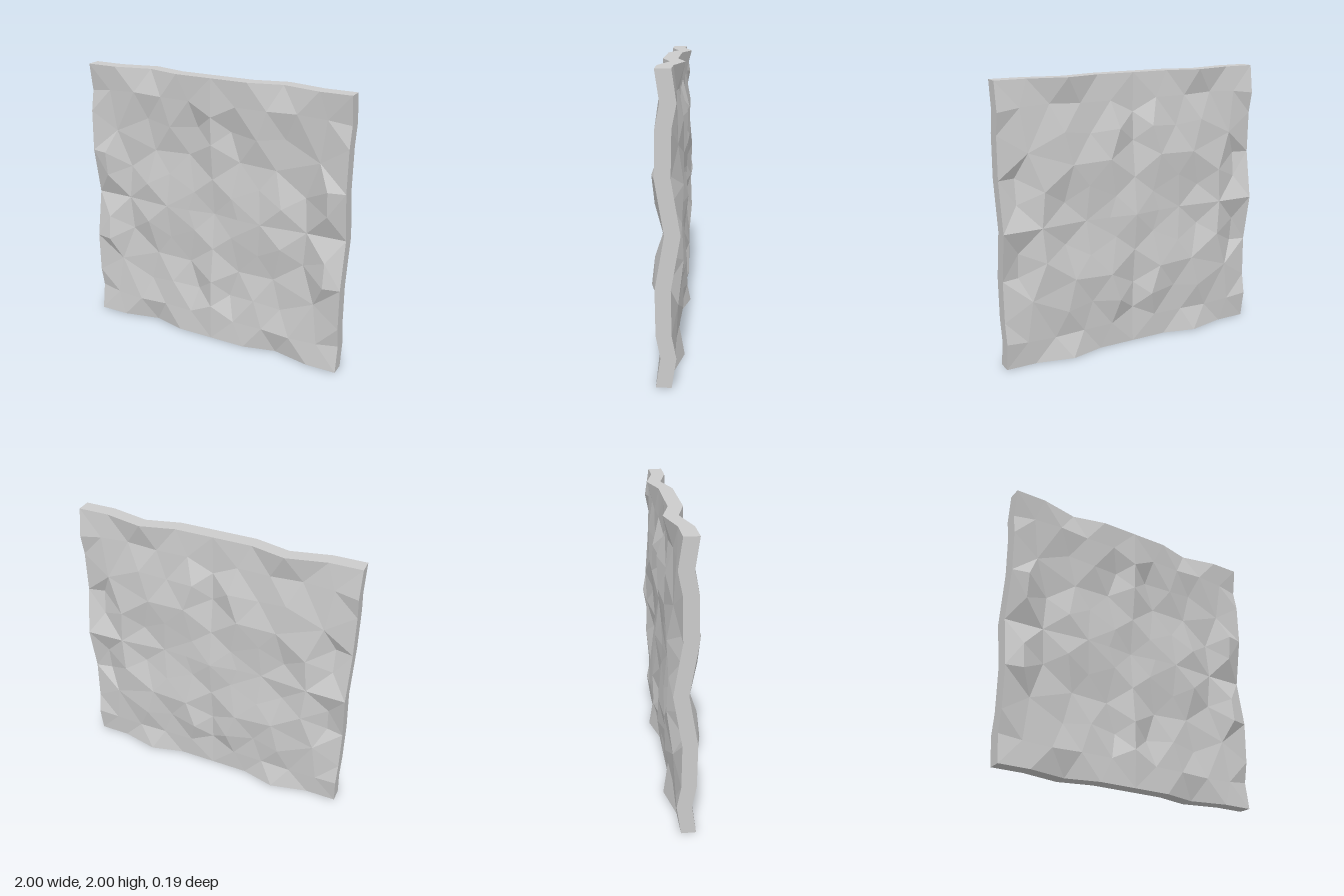
import * as THREE from 'three';

const THICKNESS = 0.1;

// One quarter of the rough face: x, height above the middle, depth.
const QUARTER = [
  // top and side rim
  [0, 1, 0.06], [0.27, 1, 0.06], [0.51, 1, 0], [0.78, 1, 0.06], [1, 1, 0.06],
  [1, 0.8, 0.03], [1, 0.65, 0.06], [1, 0.35, 0.065], [1, 0, 0.005],
  // vertical and horizontal centre lines
  [0, 0, 0.0], [0, 0.27, 0.03], [0, 0.53, 0.06], [0, 0.73, 0.065],
  [0.2, 0, 0.03], [0.38, 0, 0.04], [0.72, 0, 0.01],
  // hollows and bumps
  [0.13, 0.63, 0], [0.18, 0.82, 0.05], [0.41, 0.82, 0.045], [0.84, 0.82, 0.045],
  [0.63, 0.83, 0.05], [0.54, 0.64, 0.01], [0.34, 0.61, 0.04], [0.8, 0.52, 0.03],
  [0.48, 0.41, 0.01], [0.2, 0.42, 0.0], [0.7, 0.25, 0.0], [0.88, 0.35, 0.09],
  [0.88, 0.17, 0.07], [0.54, 0.15, 0.05], [0.36, 0.25, 0.02], [0.15, 0.15, 0.03],
];

// Delaunay triangles: keep each triple whose circumcircle holds no other point.
function triangulate(pts) {
  const tris = [];
  for (let i = 0; i < pts.length; i++)
    for (let j = i + 1; j < pts.length; j++)
      for (let k = j + 1; k < pts.length; k++) {
        const [ax, ay] = pts[i];
        const bx = pts[j][0] - ax, by = pts[j][1] - ay;
        const cx = pts[k][0] - ax, cy = pts[k][1] - ay;
        const d = 2 * (bx * cy - by * cx);
        if (Math.abs(d) < 1e-6) continue;
        const b2 = bx * bx + by * by, c2 = cx * cx + cy * cy;
        const ux = (cy * b2 - by * c2) / d, uy = (bx * c2 - cx * b2) / d;
        const r2 = ux * ux + uy * uy;
        const empty = pts.every(([x, y], n) => n === i || n === j || n === k ||
          (x - ax - ux) ** 2 + (y - ay - uy) ** 2 > r2 - 1e-9);
        if (empty) tris.push(d > 0 ? [i, j, k] : [i, k, j]);
      }
  return tris;
}

function slabGeometry() {
  const out = [];
  const add = (...corners) => corners.forEach((c) => out.push(...c));
  const back = ([x, y, z]) => [x, y, z - THICKNESS];
  const tris = triangulate(QUARTER);
  // mirror the quarter left-right and up-down
  for (const sx of [1, -1]) for (const sy of [1, -1]) {
    for (const tri of tris) {
      const t = tri.map((n) => {
        const [x, y, z] = QUARTER[n];
        return [sx * x, 1 + sy * y, z];
      });
      if (sx * sy < 0) t.reverse();
      add(...t);
      add(back(t[2]), back(t[1]), back(t[0]));
      // wall under each edge lying on the rim
      for (let e = 0; e < 3; e++) {
        const a = t[e], b = t[(e + 1) % 3];
        const onSide = a[0] === b[0] && Math.abs(a[0]) === 1;
        const onEnd = a[1] === b[1] && Math.abs(a[1] - 1) === 1;
        if (onSide || onEnd) add(a, back(a), b, b, back(a), back(b));
      }
    }
  }
  const geo = new THREE.BufferGeometry();
  geo.setAttribute('position', new THREE.Float32BufferAttribute(out, 3));
  geo.computeVertexNormals();
  return geo;
}

export function createModel() {
  const group = new THREE.Group();
  group.name = 'roughPanel';
  const slab = new THREE.Mesh(slabGeometry(),
    new THREE.MeshStandardMaterial({ color: 0xcccccc, flatShading: true }));
  slab.name = 'facetedSlab';
  group.add(slab);
  return group;
}
